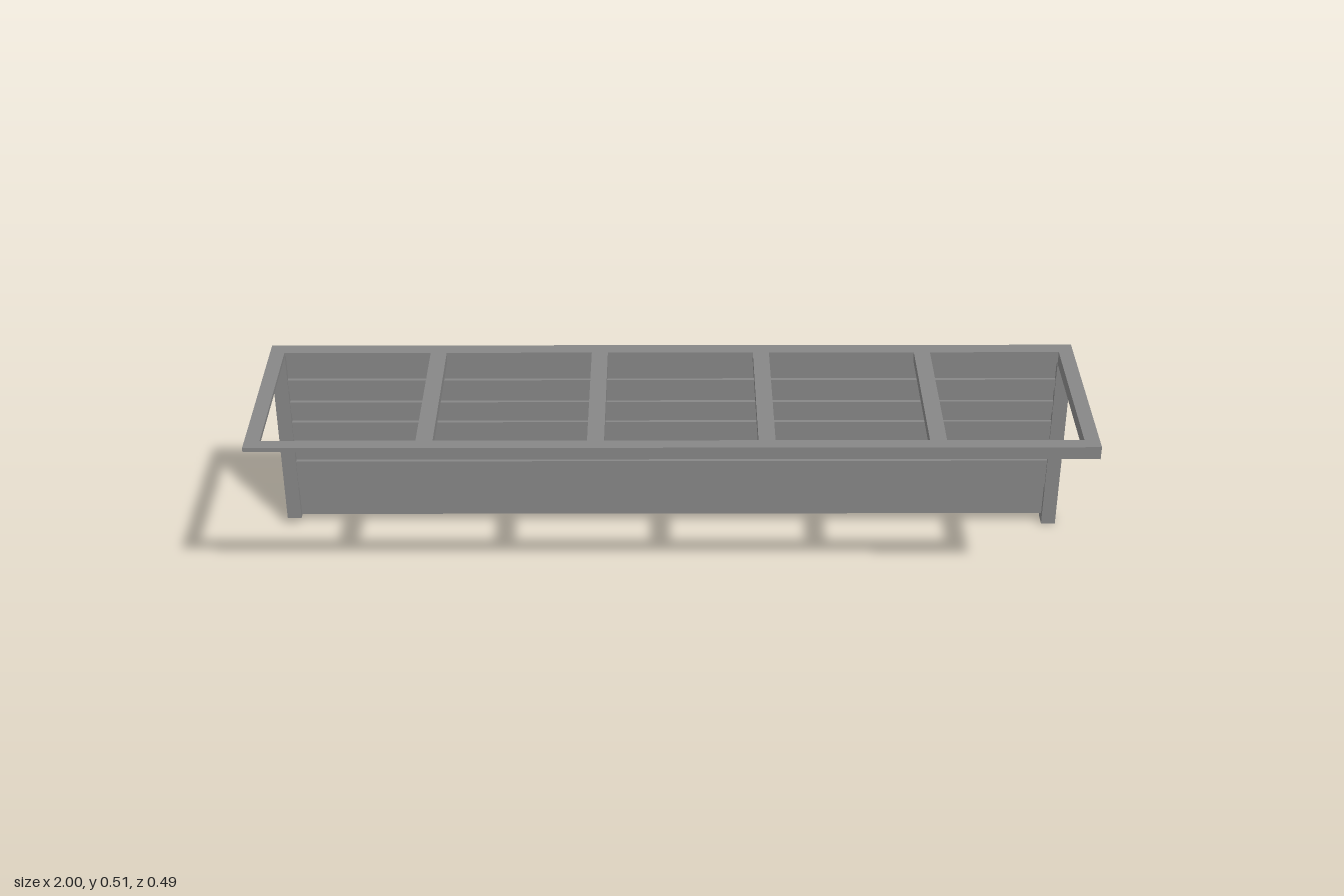
import * as THREE from 'three';

const TOP = 0.512, FRONT = 0.244, POST = 0.036;
const FRONT_RAIL = 0.033, BACK_RAIL = 0.038;

export function createModel() {
  const group = new THREE.Group();
  const material = new THREE.MeshStandardMaterial({ color: 0x868686, flatShading: true });

  const add = (name, geometry) => {
    const mesh = new THREE.Mesh(geometry, material);
    mesh.name = name;
    group.add(mesh);
  };

  // box given by its two corners
  const box = (name, x0, x1, y0, y1, z0, z1) => {
    const g = new THREE.BoxGeometry(x1 - x0, y1 - y0, z1 - z0);
    g.translate((x0 + x1) / 2, (y0 + y1) / 2, (z0 + z1) / 2);
    add(name, g);
  };

  // long rails: level on top, growing deeper towards +x
  const rail = (name, z, depth) => {
    const s = new THREE.Shape([
      new THREE.Vector2(-1, 0.502), new THREE.Vector2(1, 0.479),
      new THREE.Vector2(1, TOP), new THREE.Vector2(-1, TOP),
    ]);
    const g = new THREE.ExtrudeGeometry(s, { depth, bevelEnabled: false });
    g.translate(0, 0, z);
    add(name, g);
  };
  rail('frontRail', FRONT - FRONT_RAIL, FRONT_RAIL);
  rail('backRail', -FRONT, BACK_RAIL);

  // end bars and crossbars of the open roof frame
  const z0 = -FRONT + BACK_RAIL, z1 = FRONT - FRONT_RAIL;
  box('rightEndBar', -1, -1 + POST, 0.502, TOP, z0, z1);
  box('leftEndBar', 1 - POST, 1, 0.479, TOP, z0, z1);
  for (let i = 0; i < 4; i++) {
    const x = -0.6 + i * 0.401;
    box('crossbar', x, x + 0.04, 0.488, TOP, z0, z1);
  }

  // posts, the one at -x a little shorter
  box('rightPost', -1, -1 + POST, 0.019, 0.506, -FRONT, z0);
  box('leftPost', 1 - POST, 1, 0, 0.49, -FRONT, z0);

  // back wall of boards, alternately thin and thick
  const edges = [0.023, 0.11, 0.19, 0.248, 0.307, 0.334, 0.366, 0.398, 0.43, 0.506];
  for (let i = 0; i < edges.length - 1; i++) {
    const thick = i % 2 === 1;
    const half = thick ? 0.014 : 0.005;
    box(thick ? 'thickBoard' : 'thinBoard', -1 + POST, 1 - POST,
      edges[i], edges[i + 1], -0.225 - half, -0.225 + half);
  }
  return group;
}
